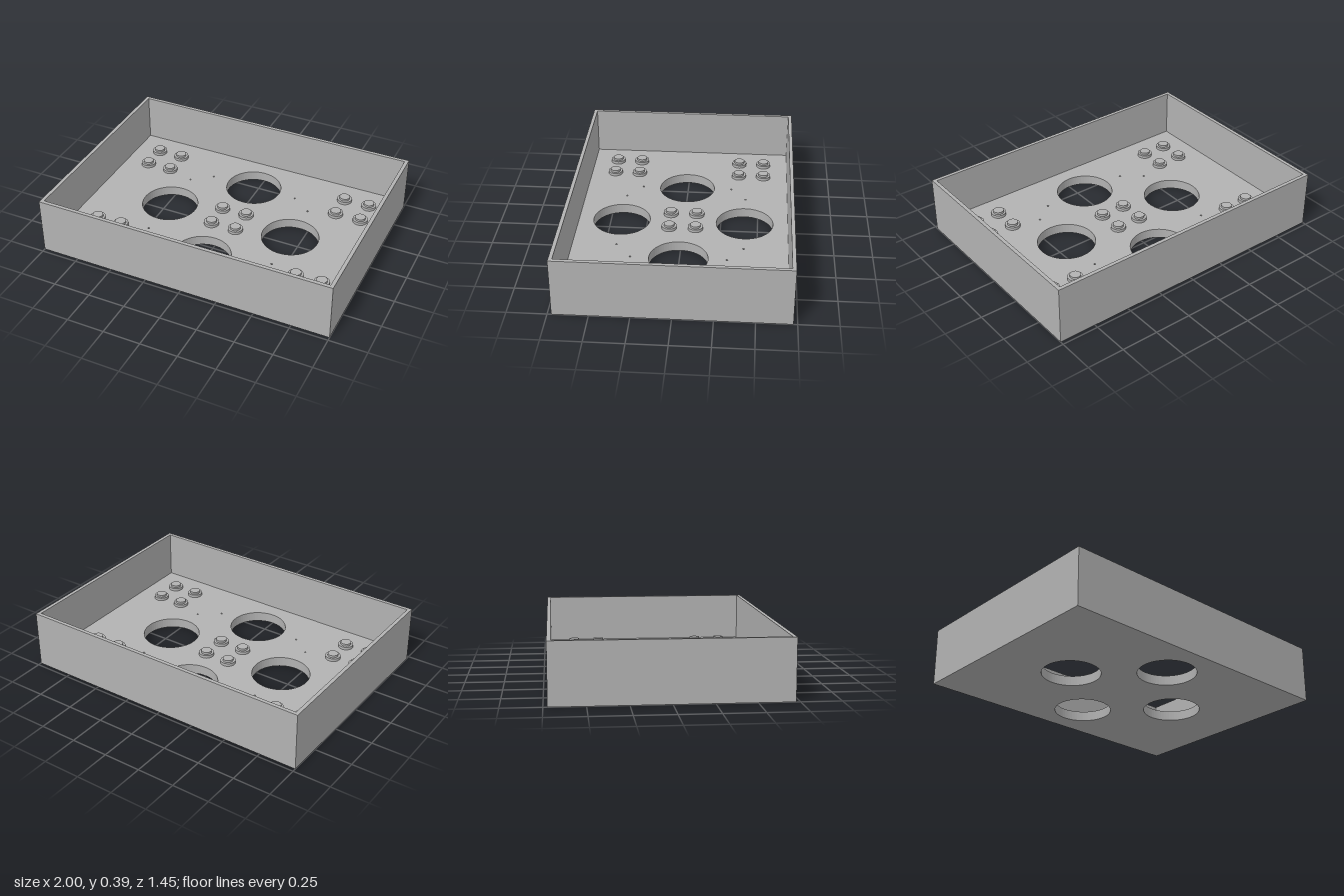
import * as THREE from 'three';

const W = 2, D = 1.45, H = 0.385, WALL = 0.024, FLOOR = 0.066, PILOT = 0.03;

function rect(path, w, d) {
  path.moveTo(-w / 2, -d / 2);
  path.lineTo(w / 2, -d / 2);
  path.lineTo(w / 2, d / 2);
  path.lineTo(-w / 2, d / 2);
  path.closePath();
  return path;
}

function circle(x, z, r) {
  return new THREE.Path().absarc(x, z, r, 0, Math.PI * 2, true);
}

// Flat slab lying in xz, from height y upwards
function slab(shape, y, depth) {
  const g = new THREE.ExtrudeGeometry(shape, { depth, bevelEnabled: false, curveSegments: 32 });
  g.rotateX(-Math.PI / 2);
  g.translate(0, y, 0);
  return g;
}

export function createModel() {
  const model = new THREE.Group();
  model.name = 'tray';
  const grey = new THREE.MeshStandardMaterial({ color: 0xb2b2b2 });
  grey.name = 'grey';
  const add = (name, geometry, parent = model) => {
    const mesh = new THREE.Mesh(geometry, grey);
    mesh.name = name;
    parent.add(mesh);
    return mesh;
  };

  // Four large round openings go through both floor layers
  const openings = [[0, 0.4125], [0, -0.4125], [0.445, 0], [-0.445, 0]];
  const floorShape = () => {
    const s = rect(new THREE.Shape(), W, D);
    for (const [x, z] of openings) s.holes.push(circle(x, z, 0.19));
    return s;
  };
  add('floorBottom', slab(floorShape(), 0, FLOOR - PILOT));

  // Upper floor layer with small blind pilot holes
  const top = floorShape();
  for (const sx of [-1, 1]) for (const sz of [-1, 1]) {
    top.holes.push(circle(sx * 0.31, sz * 0.4125, 0.006));
    top.holes.push(circle(sx * 0.445, sz * 0.31, 0.006));
  }
  add('floorTop', slab(top, FLOOR - PILOT, PILOT));

  // Surrounding wall
  const frame = rect(new THREE.Shape(), W, D);
  frame.holes.push(rect(new THREE.Path(), W - 2 * WALL, D - 2 * WALL));
  add('walls', slab(frame, FLOOR, H - FLOOR));

  // Clusters of four stepped studs: centre and corners
  const base = new THREE.CylinderGeometry(0.05, 0.05, 0.02, 32);
  const crown = new THREE.CylinderGeometry(0.035, 0.035, 0.015, 32);
  const clusters = [[0, 0], [0.7175, 0.445], [-0.7175, 0.445], [0.7175, -0.445], [-0.7175, -0.445]];
  for (const [cx, cz] of clusters) {
    const cluster = new THREE.Group();
    cluster.name = 'studCluster';
    cluster.position.set(cx, FLOOR, cz);
    for (const sx of [-1, 1]) for (const sz of [-1, 1]) {
      add('studBase', base, cluster).position.set(sx * 0.0875, 0.01, sz * 0.0875);
      add('studCrown', crown, cluster).position.set(sx * 0.0875, 0.0275, sz * 0.0875);
    }
    model.add(cluster);
  }
  return model;
}
